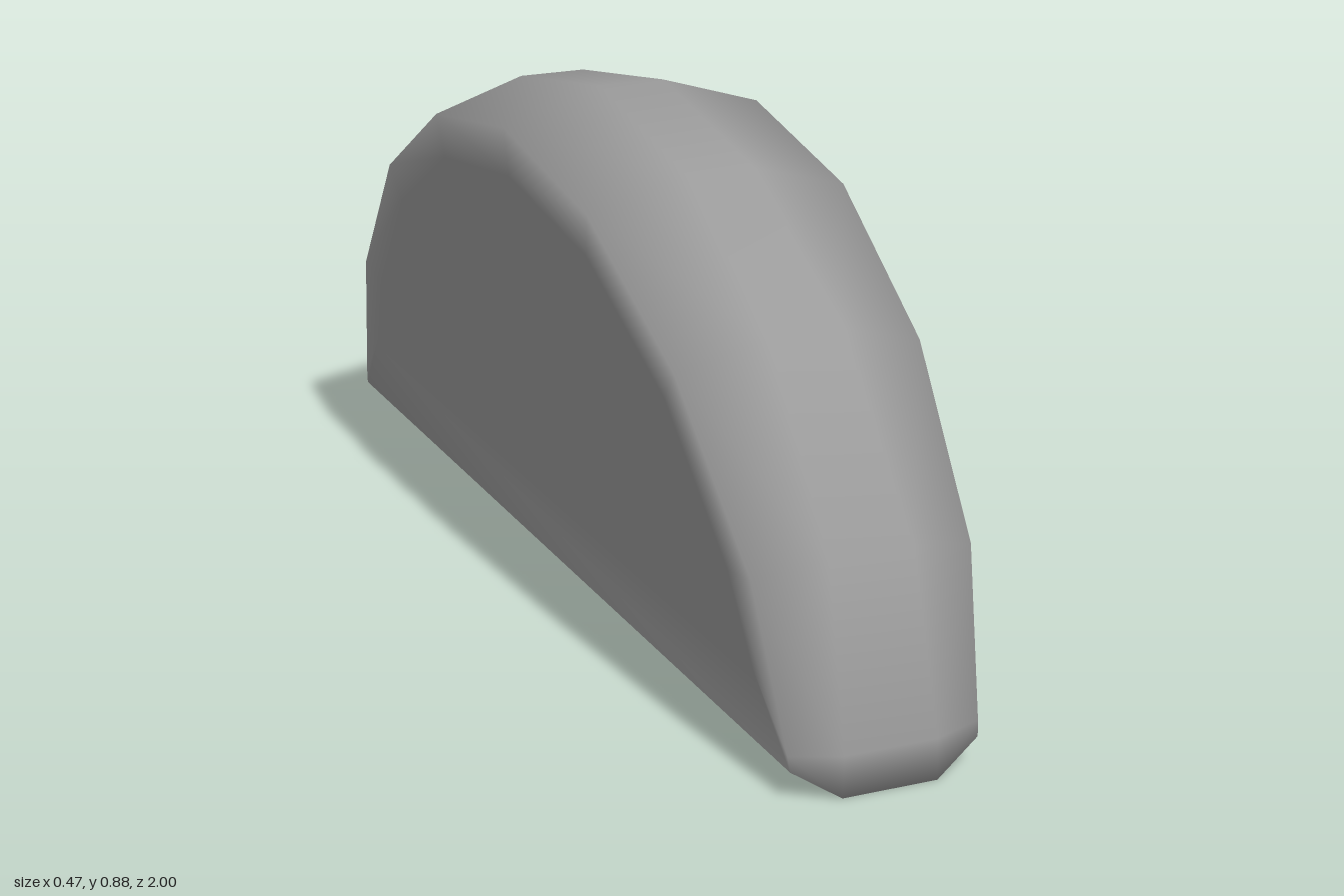
import * as THREE from 'three';

// Half outlines as [z, y], from the base corner up to the crown
const rim = [[1, 0], [1, 0.07], [0.92, 0.36], [0.685, 0.64], [0.365, 0.82], [0, 0.885]];
const edge = [[0.98, 0.05], [0.975, 0.075], [0.89, 0.335], [0.66, 0.595], [0.35, 0.77], [0, 0.83]];
const inner = [[0.88, 0.16], [0.87, 0.18], [0.805, 0.32], [0.61, 0.54], [0.33, 0.695], [0, 0.745]];

// The flat sides lean outward towards the crown
const sideX = (y) => 0.162 + 0.096 * (y - 0.05);
const rimX = (y) => 0.082 - 0.026 * y;

// Mirror a half outline front to back and place it at the width given by xOf
function makeRing(half, xOf, side) {
  const back = half.slice(0, -1).reverse().map(([z, y]) => [-z, y]);
  return [...half, ...back].map(([z, y]) => [side * xOf(y), y, z]);
}

// Smooth normals weighted by corner angle, so the large base does not dominate the small bevels
function angleWeightedNormals(positions, indices) {
  const points = [];
  for (let i = 0; i < positions.length; i += 3) points.push(new THREE.Vector3().fromArray(positions, i));
  const normals = points.map(() => new THREE.Vector3());
  for (let f = 0; f < indices.length; f += 3) {
    for (let c = 0; c < 3; c++) {
      const i = indices[f + c];
      const u = points[indices[f + (c + 1) % 3]].clone().sub(points[i]);
      const v = points[indices[f + (c + 2) % 3]].clone().sub(points[i]);
      const angle = u.angleTo(v);
      normals[i].addScaledVector(u.cross(v).normalize(), angle);
    }
  }
  return normals.flatMap((normal) => normal.normalize().toArray());
}

export function createModel() {
  const rings = [
    makeRing(inner, sideX, 1),
    makeRing(edge, sideX, 1),
    makeRing(rim, rimX, 1),
    makeRing(rim, rimX, -1),
    makeRing(edge, sideX, -1),
    makeRing(inner, sideX, -1),
  ];
  const n = rings[0].length;
  const positions = rings.flat(2);
  const indices = [];

  // Skin between neighbouring rings, including the long underside; diagonals mirror in x and z
  for (let i = 0; i < rings.length - 1; i++) {
    for (let j = 0; j < n; j++) {
      const k = (j + 1) % n;
      const a = i * n + j, b = i * n + k;
      if ((j < 5) === (i < 3)) indices.push(a, b, a + n, b, b + n, a + n);
      else indices.push(a, b, b + n, a, b + n, a + n);
    }
  }

  // Flat side panels
  const last = (rings.length - 1) * n;
  const centre = rings.length * n;
  positions.push(sideX(0.4), 0.4, 0, -sideX(0.4), 0.4, 0);
  for (let j = 0; j < n; j++) {
    const k = (j + 1) % n;
    indices.push(centre, k, j, centre + 1, last + j, last + k);
  }

  const geometry = new THREE.BufferGeometry();
  geometry.setAttribute('position', new THREE.Float32BufferAttribute(positions, 3));
  geometry.setAttribute('normal', new THREE.Float32BufferAttribute(angleWeightedNormals(positions, indices), 3));
  geometry.setIndex(indices);

  const body = new THREE.Mesh(geometry, new THREE.MeshStandardMaterial({ color: 0x9b9b9b }));
  body.name = 'halfDiscBody';
  const group = new THREE.Group();
  group.name = 'halfDisc';
  group.add(body);
  return group;
}
